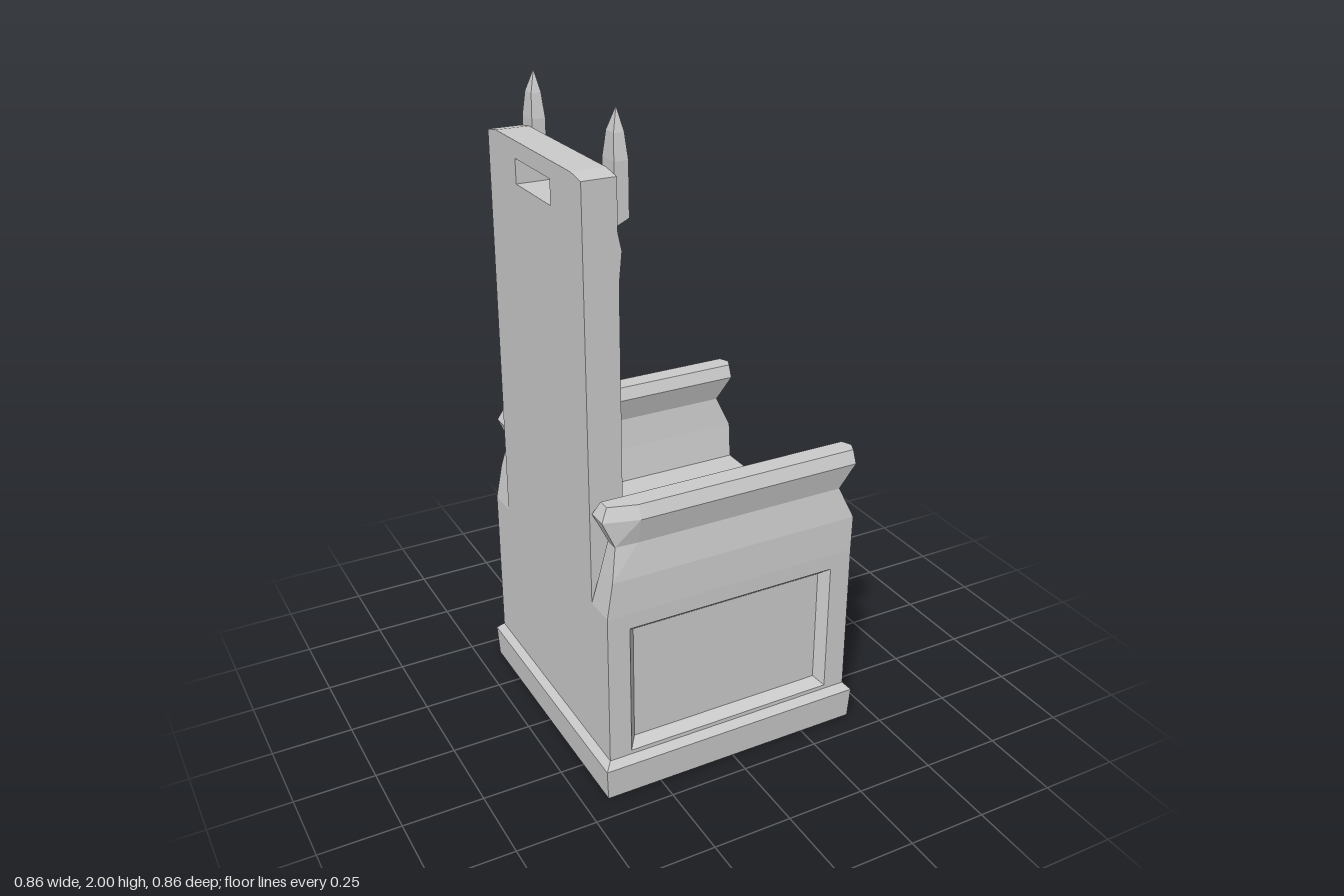
import * as THREE from 'three';

const material = new THREE.MeshStandardMaterial({ color: 0xcccccc, flatShading: true });

function add(parent, name, geometry, x = 0, y = 0, z = 0) {
  const mesh = new THREE.Mesh(geometry, material);
  mesh.name = name;
  mesh.position.set(x, y, z);
  parent.add(mesh);
  return mesh;
}

function geometryFrom(triangles) {
  const g = new THREE.BufferGeometry();
  g.setAttribute('position', new THREE.Float32BufferAttribute(triangles.flat(), 3));
  g.computeVertexNormals();
  return g;
}

// Closed solid through stacked rings, each counterclockwise seen from above
function loft(rings) {
  const t = [], n = rings[0].length, top = rings[rings.length - 1];
  for (let r = 0; r < rings.length - 1; r++) {
    const a = rings[r], b = rings[r + 1];
    for (let i = 0; i < n; i++) {
      const j = (i + 1) % n;
      t.push(a[i], a[j], b[j], a[i], b[j], b[i]);
    }
  }
  for (let i = 1; i < n - 1; i++) {
    t.push(top[0], top[i], top[i + 1]);
    t.push(rings[0][0], rings[0][i + 1], rings[0][i]);
  }
  return geometryFrom(t);
}

const rectRing = (x0, x1, z0, z1, y) => [[x1, y, z1], [x1, y, z0], [x0, y, z0], [x0, y, z1]];

function rectPath(Type, x0, x1, y0, y1) {
  const p = new Type();
  p.moveTo(x0, y0); p.lineTo(x1, y0); p.lineTo(x1, y1); p.lineTo(x0, y1); p.closePath();
  return p;
}

// Plate with its front at local z = 0, cut by sunken panels with sloped rims
function panelledPlate(name, outer, panels, thickness, inset, depth) {
  const group = new THREE.Group();
  group.name = name;
  const shape = rectPath(THREE.Shape, ...outer);
  for (const p of panels) shape.holes.push(rectPath(THREE.Path, ...p));
  add(group, 'frame', new THREE.ExtrudeGeometry(shape, { depth: thickness, bevelEnabled: false }), 0, 0, -thickness);
  for (const [x0, x1, y0, y1] of panels) {
    const corners = (i, z) => [[x0 + i, y0 + i, z], [x1 - i, y0 + i, z], [x1 - i, y1 - i, z], [x0 + i, y1 - i, z]];
    const a = corners(0, 0), b = corners(inset, -depth), t = [];
    for (let i = 0; i < 4; i++) {
      const j = (i + 1) % 4;
      t.push(a[i], a[j], b[j], a[i], b[j], b[i]);
    }
    t.push(b[0], b[1], b[2], b[0], b[2], b[3]);
    add(group, 'sunkenPanel', geometryFrom(t));
  }
  return group;
}

export function createModel() {
  const model = new THREE.Group();
  model.name = 'throneChair';

  // Plinth with bevelled top edge
  add(model, 'plinth', loft([[0.425, 0], [0.43, 0.1], [0.41, 0.122]].map(([h, y]) => rectRing(-h, h, -h, h, y))));

  // Seat box, panelled on the front and both sides
  add(model, 'seatBox', new THREE.BoxGeometry(0.78, 0.5, 0.74), -0.02, 0.36, 0);
  for (const s of [1, -1]) {
    const side = panelledPlate('sidePanel', [-0.41, 0.41, 0.11, 0.61], [[-0.34, 0.34, 0.135, 0.56]], 0.04, 0.025, 0.03);
    side.position.z = s * 0.41;
    if (s < 0) {
      side.rotation.y = Math.PI;
    }
    model.add(side);
  }
  const front = panelledPlate('frontPanels', [-0.37, 0.37, 0.11, 0.61],
    [[-0.32, -0.095, 0.135, 0.56], [0.095, 0.32, 0.135, 0.56]], 0.04, 0.016, 0.03);
  front.rotation.y = Math.PI / 2;
  front.position.x = 0.41;
  model.add(front);

  // Armrests: back x, front x, inner z, outer z, rear chamfer, front point
  const armLevels = [
    [0.61, -0.41, 0.41, 0.31, 0.41, 0, 0],
    [0.72, -0.39, 0.415, 0.328, 0.406, 0, 0],
    [0.82, -0.37, 0.37, 0.34, 0.39, 0.005, 0],
    [0.90, -0.405, 0.428, 0.315, 0.408, 0.03, 0.016],
    [0.94, -0.385, 0.425, 0.33, 0.392, 0.025, 0.014],
  ];
  for (const s of [1, -1]) {
    const rings = armLevels.map(([y, xb, xf, zi, zo, c, tip]) => {
      const ring = [[xf - tip, y, zo], [xf, y, (zi + zo) / 2], [xf - tip, y, zi],
        [xb, y, zi], [xb, y, zo - c], [-0.3, y, zo]].map(([x, h, z]) => [x, h, z * s]);
      return s > 0 ? ring : ring.reverse();
    });
    add(model, s > 0 ? 'armrestA' : 'armrestB', loft(rings));
  }

  // Backrest: panelled lower part
  add(model, 'backrestCore', new THREE.BoxGeometry(0.08, 0.95, 0.62), -0.37, 1.075, 0);
  const back = panelledPlate('backrestPanels', [-0.31, 0.31, 0.6, 1.55],
    [[-0.21, -0.053, 0.825, 1.545], [0.053, 0.21, 0.825, 1.545]], 0.025, 0.006, 0.015);
  back.rotation.y = Math.PI / 2;
  back.position.x = -0.308;
  model.add(back);

  // Moulding across the backrest
  const profile = [[-0.41, 1.55], [-0.308, 1.55], [-0.299, 1.64], [-0.31, 1.69], [-0.41, 1.69]];
  add(model, 'backrestMoulding', new THREE.ExtrudeGeometry(
    new THREE.Shape(profile.map(p => new THREE.Vector2(...p))), { depth: 0.62, bevelEnabled: false }), 0, 0, -0.31);

  // Top rail with a hand slot
  const rail = new THREE.Shape([[-0.31, 1.69], [0.31, 1.69], [0.31, 1.837], [0.25, 1.847], [-0.25, 1.847], [-0.31, 1.837]]
    .map(p => new THREE.Vector2(...p)));
  rail.holes.push(rectPath(THREE.Path, -0.116, 0.116, 1.725, 1.797));
  add(model, 'topRail', new THREE.ExtrudeGeometry(rail, { depth: 0.1, bevelEnabled: false }), -0.41).rotation.y = Math.PI / 2;

  // Pointed finials on the front of the rail
  for (const z of [0.26, -0.26]) {
    const base = rectRing(-0.312, -0.27, z - 0.037, z + 0.037, 1.7);
    base[0][1] = base[1][1] = 1.72;
    const finial = loft([base, rectRing(-0.31, -0.269, z - 0.034, z + 0.034, 1.87),
      rectRing(-0.304, -0.274, z - 0.022, z + 0.022, 1.94), rectRing(-0.286, -0.285, z - 0.001, z + 0.001, 2)]);
    add(model, 'finial', finial);
  }

  return model;
}
